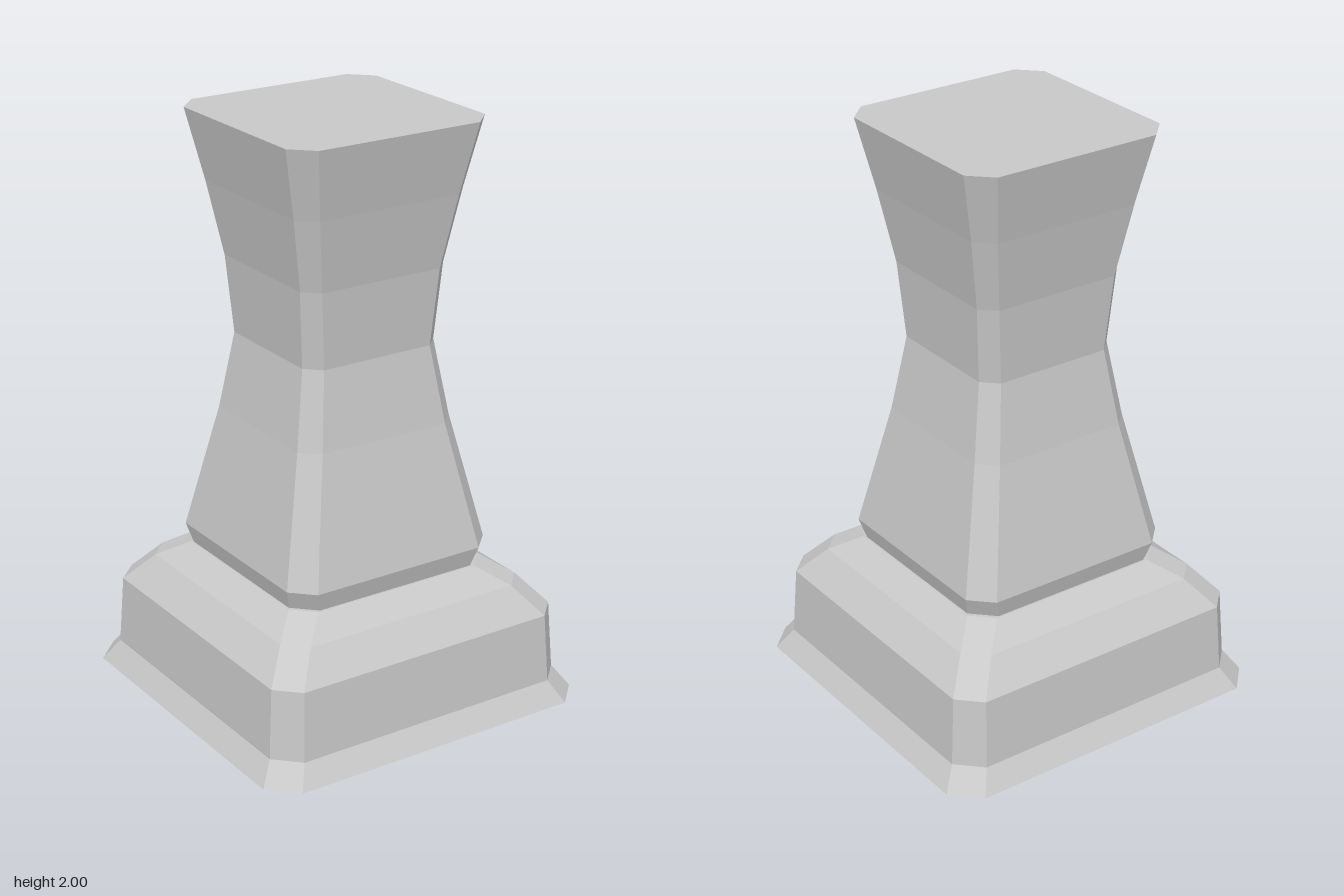
import * as THREE from 'three';

// Corners of a square with cut corners, anticlockwise seen from above
function ring([y, half, flat]) {
  const points = [];
  for (let side = 0; side < 4; side++) {
    for (const t of [-flat, flat]) {
      const p = new THREE.Vector3(t, y, half);
      points.push(p.applyAxisAngle(new THREE.Vector3(0, 1, 0), side * Math.PI / 2));
    }
  }
  return points;
}

// Flat-faced loft through [height, half width, half flat edge] sections, closed at both ends
function loft(sections) {
  const rings = sections.map(ring);
  const corners = [];
  for (let r = 0; r < rings.length - 1; r++) {
    for (let i = 0; i < 8; i++) {
      const j = (i + 1) % 8;
      const a = rings[r][i], b = rings[r][j], c = rings[r + 1][j], d = rings[r + 1][i];
      corners.push(a, b, c, a, c, d);
    }
  }
  const bottom = rings[0], top = rings[rings.length - 1];
  for (let i = 1; i < 7; i++) {
    corners.push(top[0], top[i], top[i + 1]);
    corners.push(bottom[0], bottom[i + 1], bottom[i]);
  }
  const geometry = new THREE.BufferGeometry().setFromPoints(corners);
  geometry.computeVertexNormals();
  return geometry;
}

export function createModel() {
  const model = new THREE.Group();
  model.name = 'pedestal';
  const stone = new THREE.MeshStandardMaterial({ color: 0xc8c8c8 });
  stone.name = 'light grey stone';

  const add = (name, sections) => {
    const mesh = new THREE.Mesh(loft(sections), stone);
    mesh.name = name;
    model.add(mesh);
  };

  // Flared foot with a sloping shoulder
  add('foot', [
    [0, 0.62, 0.53],
    [0.075, 0.57, 0.49],
    [0.315, 0.555, 0.48],
    [0.415, 0.47, 0.4],
    [0.477, 0.38, 0.31],
  ]);

  // Waisted shaft that widens towards the top
  add('shaft', [
    [0.477, 0.373, 0.3],
    [0.545, 0.392, 0.32],
    [0.98, 0.298, 0.24],
    [1.245, 0.255, 0.205],
    [1.51, 0.275, 0.225],
    [1.76, 0.32, 0.262],
    [2, 0.372, 0.3],
  ]);

  return model;
}
